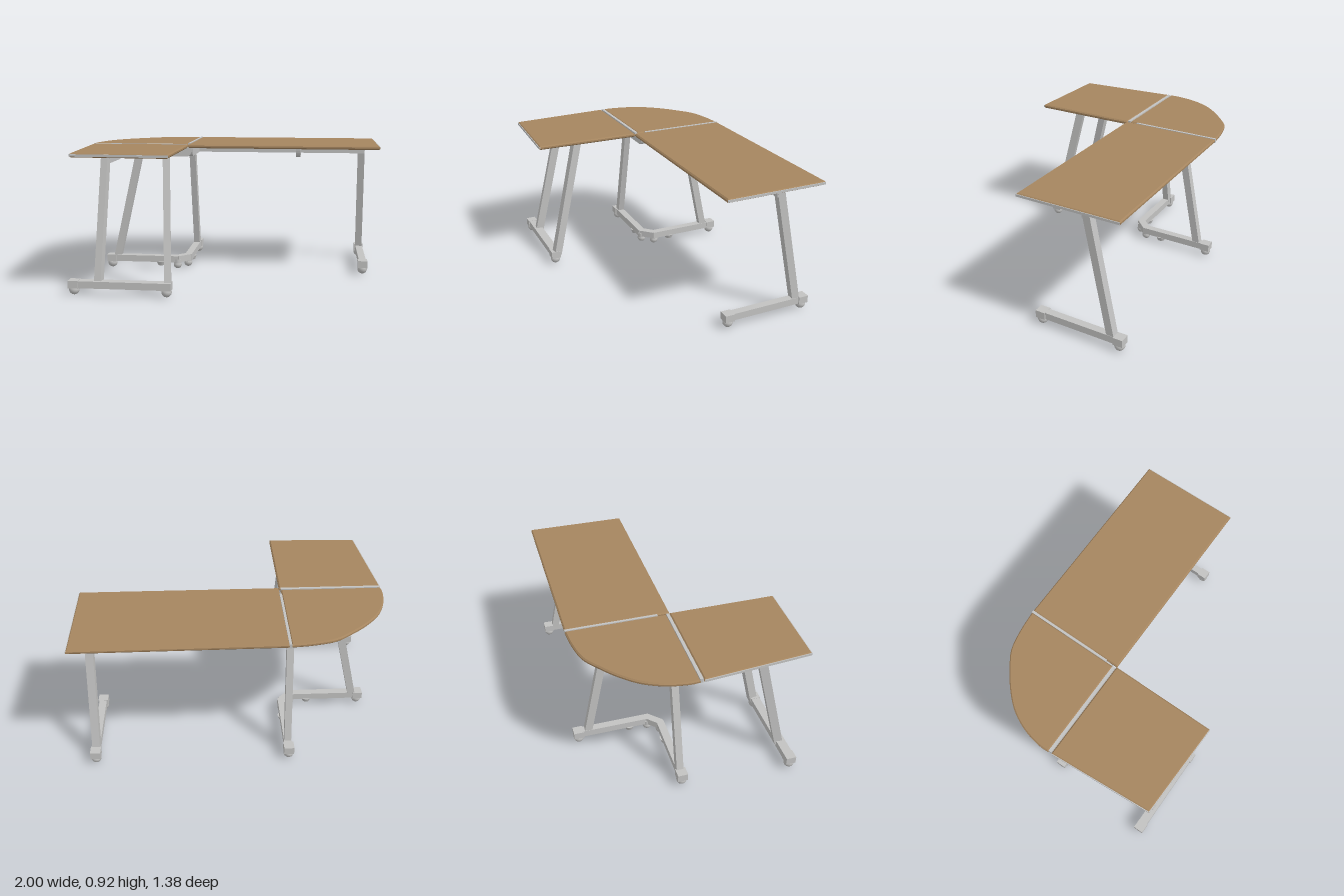
import * as THREE from 'three';

export function createModel() {
  const model = new THREE.Group();
  const wood = new THREE.MeshStandardMaterial({ color: 0xa5855f });
  wood.name = 'wood';
  const metal = new THREE.MeshStandardMaterial({ color: 0xc2c2c1 });
  metal.name = 'greyMetal';

  function add(name, geometry, material = metal, parent = model) {
    const mesh = new THREE.Mesh(geometry, material);
    mesh.name = name;
    parent.add(mesh);
    return mesh;
  }

  // Straight bar between two points: w is horizontal, h is across it
  function bar(name, a, b, w, h, parent = model, material = metal) {
    const p = new THREE.Vector3(...a), q = new THREE.Vector3(...b);
    const mesh = add(name, new THREE.BoxGeometry(w, h, p.distanceTo(q)), material, parent);
    mesh.position.copy(p).lerp(q, 0.5);
    mesh.lookAt(q);
    return mesh;
  }

  // Flat outline in x and z, extruded upwards from y
  function slab(name, shape, y, height, bevel, material) {
    const geometry = new THREE.ExtrudeGeometry(shape, {
      depth: height - 2 * bevel, bevelEnabled: bevel > 0, bevelThickness: bevel,
      bevelSize: bevel, bevelOffset: -bevel, bevelSegments: 1, curveSegments: 14,
    });
    geometry.rotateX(-Math.PI / 2);
    geometry.translate(0, y + bevel, 0);
    return add(name, geometry, material);
  }
  const outline = (pts) => new THREE.Shape(pts.map(([x, z]) => new THREE.Vector2(x, -z)));

  // Desktops
  const yTop = 0.888, thick = 0.026;
  slab('mainTop', outline([[-0.318, -0.01], [1, -0.008], [1, -0.685], [-0.318, -0.68]]), yTop, thick, 0.008, wood);
  slab('returnTop', outline([[-0.995, -0.012], [-0.942, 0.673], [-0.32, 0.693], [-0.32, -0.012]]), yTop, thick, 0.008, wood);
  const curve = new THREE.SplineCurve([
    [-0.33, 0.68], [-0.47, 0.665], [-0.61, 0.63], [-0.72, 0.555], [-0.82, 0.47],
    [-0.91, 0.365], [-0.97, 0.24], [-0.997, 0.11], [-0.997, 0.035],
  ].map((p) => new THREE.Vector2(...p)));
  const cornerShape = new THREE.Shape([new THREE.Vector2(-0.33, 0.035), ...curve.getPoints(40)]);
  slab('cornerTop', cornerShape, yTop, thick, 0.008, wood);

  // Joint strips between the tops and grey edge bands
  bar('backJoint', [-0.324, 0.902, -0.68], [-0.324, 0.902, -0.09], 0.016, 0.027);
  bar('sideJoint', [-0.99, 0.902, -0.025], [-0.33, 0.902, -0.025], 0.02, 0.027);
  bar('mainEndBand', [0.998, 0.901, -0.683], [0.998, 0.901, -0.01], 0.008, 0.015);
  bar('returnFrontBand', [-0.942, 0.901, 0.671], [-0.32, 0.901, 0.691], 0.008, 0.015);
  bar('returnSideBand', [-0.993, 0.901, -0.01], [-0.941, 0.901, 0.671], 0.008, 0.015);

  // Caster: rounded wheel with a short collar
  function caster(x, z, parent, r = 0.034) {
    const wheel = add('caster', new THREE.SphereGeometry(r, 14, 10), metal, parent);
    wheel.position.set(x, r, z);
    const collar = add('casterCollar', new THREE.CylinderGeometry(0.028, 0.028, 0.03, 14), metal, parent);
    collar.position.set(x, 0.055, z);
  }
  // Thicker cap at the end of a foot bar
  function footCap(x, z, parent) {
    const cap = add('footCap', new THREE.BoxGeometry(0.066, 0.05, 0.066), metal, parent);
    cap.position.set(x, 0.071, z);
    caster(x, z, parent);
  }
  function group(name) {
    const g = new THREE.Group();
    g.name = name;
    model.add(g);
    return g;
  }

  // Return stand: foot bar with two leaning legs
  const returnStand = group('returnStand');
  bar('footBar', [-0.99, 0.071, 0.615], [-0.325, 0.071, 0.615], 0.06, 0.046, returnStand);
  footCap(-0.96, 0.617, returnStand);
  footCap(-0.358, 0.617, returnStand);
  bar('leg', [-0.802, 0.07, 0.605], [-0.785, 0.884, 0.41], 0.045, 0.055, returnStand);
  bar('leg', [-0.352, 0.07, 0.605], [-0.388, 0.884, 0.41], 0.045, 0.055, returnStand);

  // Main stand: foot bar with one leg near its back
  const mainStand = group('mainStand');
  bar('footBar', [0.912, 0.071, -0.08], [0.912, 0.071, -0.66], 0.05, 0.046, mainStand);
  footCap(0.912, -0.1, mainStand);
  footCap(0.912, -0.645, mainStand);
  bar('leg', [0.91, 0.07, -0.595], [0.9, 0.884, -0.42], 0.05, 0.05, mainStand);

  // Corner stand: V-shaped foot with two legs
  const cornerStand = group('cornerStand');
  bar('sideFootBar', [-0.91, 0.071, -0.1], [-0.41, 0.071, -0.1], 0.05, 0.046, cornerStand);
  bar('cornerFootBar', [-0.425, 0.071, -0.097], [-0.347, 0.071, -0.175], 0.05, 0.046, cornerStand);
  bar('backFootBar', [-0.35, 0.071, -0.16], [-0.35, 0.071, -0.66], 0.05, 0.046, cornerStand);
  footCap(-0.905, -0.1, cornerStand);
  footCap(-0.352, -0.655, cornerStand);
  for (const [x, z] of [[-0.42, -0.1], [-0.355, -0.175]]) caster(x, z, cornerStand, 0.03);
  for (const [x, z] of [[-0.54, -0.1], [-0.35, -0.3]]) {
    const pad = add('footPad', new THREE.CylinderGeometry(0.036, 0.026, 0.028, 14), metal, cornerStand);
    pad.position.set(x, 0.037, z);
  }
  bar('sideLeg', [-0.865, 0.07, -0.103], [-0.675, 0.884, -0.103], 0.045, 0.05, cornerStand);
  bar('backLeg', [-0.35, 0.07, -0.59], [-0.355, 0.884, -0.42], 0.045, 0.05, cornerStand);

  // Rails under the tops, with a quarter bend below the corner
  bar('mainRail', [0.922, 0.857, -0.42], [-0.375, 0.857, -0.42], 0.045, 0.062);
  const bend = new THREE.Shape();
  bend.absarc(-0.375, 0.1, 0.343, Math.PI / 2, Math.PI, false);
  bend.absarc(-0.375, 0.1, 0.297, Math.PI, Math.PI / 2, true);
  slab('railBend', bend, 0.826, 0.062, 0, metal);

  // Brackets: flat ribs with rounded lower ends
  function bracket(name, x, z, length, angle, width = 0.03) {
    const s = new THREE.Shape();
    s.moveTo(0, 0);
    s.quadraticCurveTo(0.005, -0.06, 0.03, -0.065);
    s.lineTo(length - 0.12, -0.065);
    s.quadraticCurveTo(length - 0.03, -0.06, length, 0);
    const geometry = new THREE.ExtrudeGeometry(s, { depth: width, bevelEnabled: false, curveSegments: 6 });
    geometry.translate(0, 0, -width / 2);
    const mesh = add(name, geometry);
    mesh.position.set(x, 0.889, z);
    mesh.rotation.y = angle;
  }
  bracket('mainBracket', 0.445, -0.08, 0.51, Math.PI / 2);
  bracket('innerBracket', -0.315, -0.08, 0.5, Math.PI / 2);
  bracket('cornerBracket', -0.3, -0.075, 0.42, Math.PI, 0.045);
  bracket('returnBracket', -0.785, 0.42, 0.38, Math.PI / 2, 0.045);

  return model;
}
